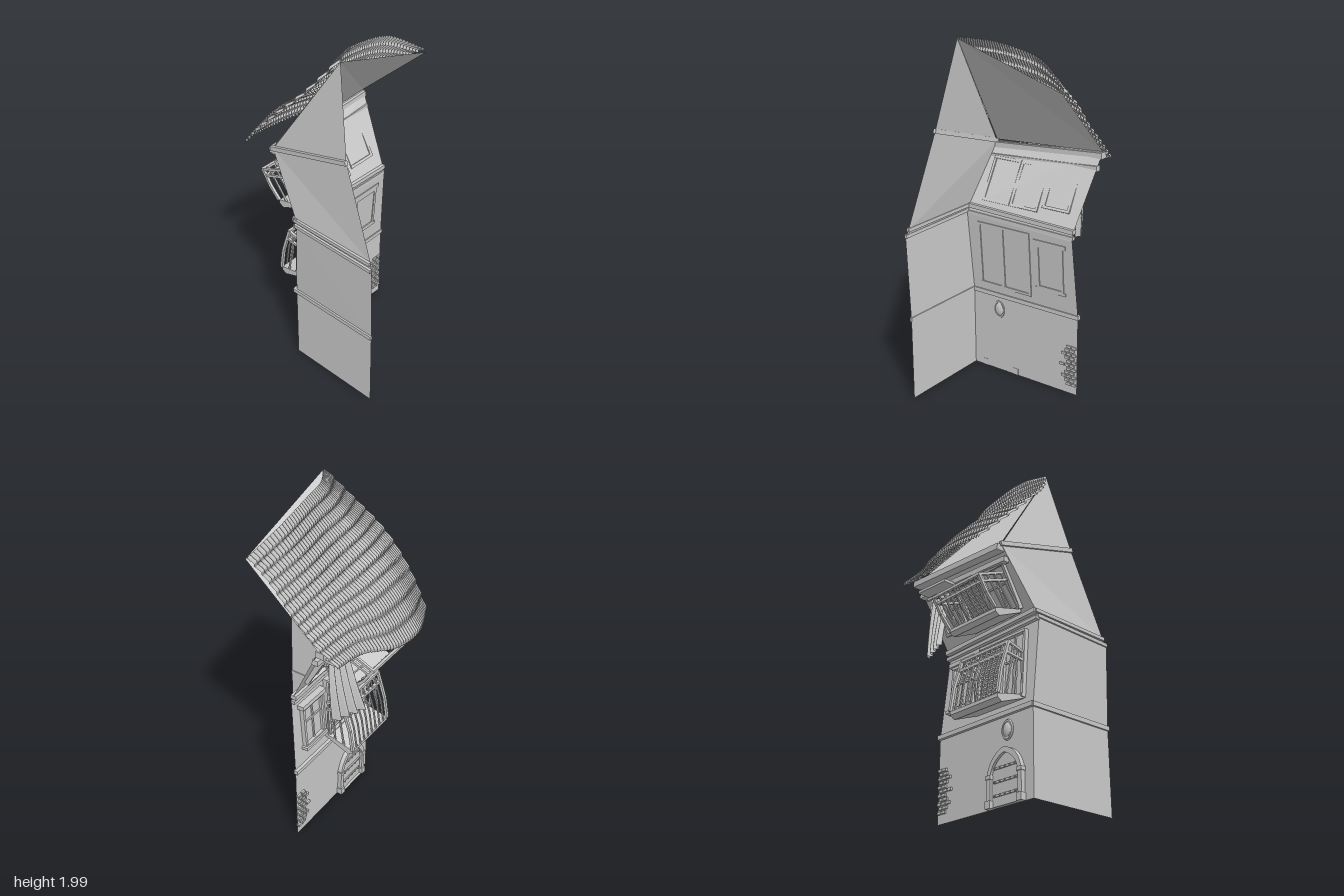
import * as THREE from 'three';
import { ParametricGeometry } from 'three/addons/geometries/ParametricGeometry.js';

const mat = new THREE.MeshStandardMaterial({ color: 0xcccccc, flatShading: true, side: THREE.DoubleSide });
const smooth = new THREE.MeshStandardMaterial({ color: 0xcccccc, side: THREE.DoubleSide });
const V = (a) => new THREE.Vector3(...a);

function add(parent, name, geo, pos = [0, 0, 0], material = mat) {
  const m = new THREE.Mesh(geo, material);
  m.name = name;
  m.position.set(...pos);
  parent.add(m);
  return m;
}
const box = (p, name, w, h, d, x, y, z) => add(p, name, new THREE.BoxGeometry(w, h, d), [x, y, z]);

// square beam running from point a to point b
function beam(p, name, a, b, w, h = w) {
  const A = V(a), B = V(b);
  const m = add(p, name, new THREE.BoxGeometry(w, h, A.distanceTo(B)), A.clone().lerp(B, 0.5).toArray());
  m.lookAt(B);
  return m;
}

// open surface through rows of points
function sheet(rows) {
  const pos = [];
  for (let i = 0; i < rows.length - 1; i++)
    for (let j = 0; j < rows[i].length - 1; j++) {
      const a = rows[i][j], b = rows[i][j + 1], c = rows[i + 1][j + 1], d = rows[i + 1][j];
      pos.push(...a, ...b, ...c, ...a, ...c, ...d);
    }
  const g = new THREE.BufferGeometry();
  g.setAttribute('position', new THREE.Float32BufferAttribute(pos, 3));
  g.computeVertexNormals();
  return g;
}

function group(parent, name, pos = [0, 0, 0], tilt = 0) {
  const g = new THREE.Group();
  g.name = name;
  g.position.set(...pos);
  g.rotation.x = tilt;
  parent.add(g);
  return g;
}

// pointed arch outline standing on y = 0
function archShape(w, spring, top, S = THREE.Shape) {
  const s = new S();
  s.moveTo(-w, 0);
  s.lineTo(-w, spring);
  s.quadraticCurveTo(-w * 0.85, top - 0.03, 0, top);
  s.quadraticCurveTo(w * 0.85, top - 0.03, w, spring);
  s.lineTo(w, 0);
  s.closePath();
  return s;
}

// window or door: frame, cross bars and optional louvres, facing -z
function opening(p, name, x0, x1, y0, y1, louvres = 0) {
  const g = group(p, name), w = x1 - x0, h = y1 - y0, x = (x0 + x1) / 2, y = (y0 + y1) / 2;
  for (const ex of [x0, x1]) box(g, 'jamb', 0.016, h, 0.03, ex, y, -0.008);
  for (const ey of [y0, y1]) box(g, 'rail', w + 0.016, 0.016, 0.035, x, ey, -0.01);
  box(g, 'pane', w, h, 0.008, x, y, -0.004);
  for (let i = 0; i < louvres; i++)
    box(g, 'louvre', w - 0.02, 0.008, 0.014, x, y0 + h * (i + 1) / (louvres + 1), -0.01).rotation.x = 0.6;
  if (!louvres) {
    box(g, 'mullion', 0.01, h, 0.016, x, y, -0.008);
    box(g, 'transom', w, 0.01, 0.016, x, y0 + h * 0.6, -0.008);
  }
  return g;
}

// crooked balcony from floor and rail lines given as [z, y]
function balcony(p, name, x0, x1, f0, f1, r0, r1) {
  const g = group(p, name);
  const at = (x, q) => [x, q[1], q[0]];
  const mix = (a, b, t) => [a[0] + (b[0] - a[0]) * t, a[1] + (b[1] - a[1]) * t];
  const drop = (q, d) => [q[0], q[1] - d];
  const ring = [f0, f1, drop(f1, 0.02), drop(mix(f0, f1, 0.85), 0.045), drop(f0, 0.02), f0];
  const slab = (x) => ring.map((q) => at(x, q));
  add(g, 'slab', sheet([slab(x0), slab(x1)]));
  for (const x of [x0, x1]) add(g, 'slabEnd', sheet([slab(x).slice(0, 3), slab(x).slice(3).reverse()]));
  for (const t of [0.8, 1]) {
    const a = mix(f0, r0, t), b = mix(f1, r1, t);
    for (const x of [x0, x1]) beam(g, 'sideRail', at(x, a), at(x, b), 0.014);
    beam(g, 'frontRail', at(x0 - 0.007, b), at(x1 + 0.007, b), 0.016);
  }
  const n = 9;
  for (let i = 0; i <= n; i++) {
    const x = x0 + (x1 - x0) * i / n, w = i % n ? 0.008 : 0.016;
    const mid = mix(f1, r1, 0.45);
    mid[0] -= 0.012;
    beam(g, 'baluster', at(x, f1), at(x, mid), w);
    beam(g, 'baluster', at(x, mid), at(x, r1), w);
  }
  for (const x of [x0, x1])
    for (const t of [0.08, 0.36, 0.68]) beam(g, 'sideBaluster', at(x, mix(f0, f1, t)), at(x, mix(r0, r1, t)), 0.009);
}

export function createModel() {
  const model = new THREE.Group();
  model.name = 'crookedHouse';

  // walls: facade faces -z, side wall faces -x
  add(model, 'facade', sheet([
    [[-0.345, 0, -0.07], [0.375, 0, -0.07]],
    [[-0.345, 0.48, -0.065], [0.375, 0.48, -0.065]],
    [[-0.362, 0.95, -0.03], [0.35, 0.93, -0.03]],
    [[-0.355, 1.0, -0.04], [0.35, 0.98, -0.04]],
    [[-0.305, 1.34, -0.24], [0.4, 1.39, -0.24]],
  ]));
  add(model, 'sideWall', sheet([
    [[-0.345, 0, 0.49], [-0.345, 0, -0.07]],
    [[-0.345, 0.48, 0.49], [-0.345, 0.48, -0.065]],
    [[-0.36, 0.95, 0.495], [-0.362, 0.95, -0.03]],
    [[-0.35, 1.0, 0.48], [-0.355, 1.0, -0.04]],
    [[-0.315, 1.5, 0.285], [-0.305, 1.34, -0.24]],
    [[-0.24, 1.98, 0.18], [-0.24, 1.98, 0.18]],
  ]));

  // storey bands
  beam(model, 'lowerBand', [-0.355, 0.48, -0.07], [0.38, 0.48, -0.07], 0.025, 0.025);
  beam(model, 'middleBand', [-0.365, 0.96, -0.04], [0.352, 0.945, -0.04], 0.025, 0.02);
  beam(model, 'middleBandTop', [-0.36, 1.0, -0.045], [0.352, 0.98, -0.045], 0.035, 0.025);
  beam(model, 'cornice', [-0.31, 1.26, -0.21], [0.39, 1.3, -0.21], 0.035, 0.03);
  beam(model, 'corniceTop', [-0.305, 1.32, -0.245], [0.4, 1.365, -0.245], 0.05, 0.035);
  beam(model, 'sideLowerBand', [-0.348, 0.48, 0.49], [-0.348, 0.48, -0.075], 0.016, 0.025);
  beam(model, 'sideMiddleBand', [-0.362, 0.96, 0.492], [-0.363, 0.97, -0.04], 0.016, 0.02);
  beam(model, 'sideMiddleBandTop', [-0.355, 0.995, 0.48], [-0.357, 1.0, -0.05], 0.018, 0.02);
  beam(model, 'sideUpperBand', [-0.318, 1.5, 0.287], [-0.308, 1.34, -0.25], 0.018, 0.025);

  // roof underside and curved tile field
  add(model, 'roofUnderside', sheet([
    [[-0.24, 1.98, 0.18], [0.41, 1.77, 0.18]],
    [[-0.305, 1.35, -0.24], [0.4, 1.385, -0.24]],
  ]));
  const profiles = [
    [[-0.24, 1.98, 0.18], [-0.345, 1.8, 0.05], [-0.405, 1.64, -0.1], [-0.395, 1.46, -0.27], [-0.33, 1.3, -0.42]],
    [[-0.13, 1.97, 0.12], [-0.19, 1.79, 0.01], [-0.22, 1.64, -0.13], [-0.2, 1.49, -0.3], [-0.17, 1.27, -0.475]],
    [[0.03, 1.95, 0.1], [0.01, 1.78, 0], [0, 1.62, -0.13], [0, 1.48, -0.29], [0.02, 1.27, -0.455]],
    [[0.22, 1.9, 0.1], [0.21, 1.74, 0], [0.2, 1.59, -0.12], [0.2, 1.46, -0.24], [0.21, 1.31, -0.37]],
    [[0.41, 1.78, 0.17], [0.41, 1.68, 0.04], [0.41, 1.54, -0.09], [0.41, 1.43, -0.21], [0.39, 1.32, -0.345]],
  ].map((p) => new THREE.CatmullRomCurve3(p.map(V)));
  const cols = 44, rows = 12;
  const tiles = new ParametricGeometry((u, v, out) => {
    const c = new THREE.CatmullRomCurve3(profiles.map((p) => p.getPoint(v)));
    c.getPoint(u, out);
    const f = v * rows - Math.floor(v * rows + 1e-6);
    const lift = 0.012 * Math.abs(Math.sin(Math.PI * cols * u)) + 0.012 * f;
    out.y += lift * 0.8;
    out.z -= lift * 0.6;
  }, cols * 6, rows * 5);
  add(model, 'roofTiles', tiles, [0, 0, 0], smooth);

  // arched door
  const door = group(model, 'door', [-0.16, 0, -0.07]);
  const frame = archShape(0.125, 0.16, 0.3);
  frame.holes.push(archShape(0.1, 0.16, 0.27, THREE.Path));
  add(door, 'doorFrame', new THREE.ExtrudeGeometry(frame, { depth: 0.025, bevelEnabled: false }), [0, 0, -0.025]);
  add(door, 'doorLeaf', new THREE.ExtrudeGeometry(archShape(0.1, 0.16, 0.27), { depth: 0.01, bevelEnabled: false }), [0, 0, -0.01]);
  for (const y of [0.06, 0.13, 0.2]) {
    box(door, 'strap', 0.17, 0.012, 0.008, 0, y, -0.012);
    for (let i = -2; i <= 2; i++) add(door, 'stud', new THREE.SphereGeometry(0.006, 6, 4), [i * 0.036, y, -0.017]);
  }
  for (const s of [-1, 1]) {
    box(door, 'plinth', 0.035, 0.04, 0.035, s * 0.112, 0.02, -0.015);
    box(door, 'capital', 0.035, 0.02, 0.03, s * 0.112, 0.16, -0.015);
  }

  // oval plaque above the door
  const plaque = group(model, 'plaque', [-0.165, 0.39, -0.07]);
  plaque.scale.set(0.8, 1.1, 1);
  add(plaque, 'plaqueRim', new THREE.TorusGeometry(0.042, 0.009, 6, 20));
  add(plaque, 'plaqueFace', new THREE.SphereGeometry(0.038, 14, 8)).scale.z = 0.4;

  // exposed brick patch
  const bricks = group(model, 'bricks');
  for (let r = 0; r < 11; r++)
    for (let c = 0; c < 2 + (r * 5) % 3 % 2; c++)
      box(bricks, 'brick', 0.028, 0.015, 0.02, 0.355 - c * 0.034 - (r % 2) * 0.012, 0.06 + r * 0.023, -0.07);

  // middle storey
  const middle = group(model, 'middleStorey', [0, 0.48, -0.066], 0.074);
  opening(middle, 'window', 0.12, 0.28, 0.13, 0.38);
  box(middle, 'windowHood', 0.21, 0.025, 0.045, 0.2, 0.4, -0.015);
  box(middle, 'windowSill', 0.2, 0.018, 0.045, 0.2, 0.12, -0.015);
  opening(middle, 'balconyDoor', -0.28, -0.13, 0.06, 0.43);
  opening(middle, 'shutterDoor', -0.12, 0.06, 0.06, 0.43, 14);
  balcony(model, 'middleBalcony', -0.28, 0.08, [-0.06, 0.55], [-0.245, 0.51], [-0.07, 0.78], [-0.17, 0.81]);

  // upper storey leaning outward
  const upper = group(model, 'upperStorey', [0, 1.0, -0.042], -0.507);
  opening(upper, 'balconyDoor', -0.27, -0.1, 0.05, 0.3);
  opening(upper, 'shutterDoor', -0.08, 0.09, 0.05, 0.3, 10);
  opening(upper, 'curtainWindow', 0.13, 0.29, 0.08, 0.28);
  balcony(model, 'upperBalcony', -0.27, 0.09, [-0.07, 1.03], [-0.25, 0.98], [-0.2, 1.2], [-0.365, 1.13]);

  // curtain blown out of the window
  const curtain = new ParametricGeometry((u, v, out) => {
    const s = u - 0.5;
    out.set(0.205 - s * (0.17 + 0.03 * v) - 0.03 * v * v, 1.24 - 0.375 * v,
      -0.225 - 0.065 * v - s * 0.08 * v + (0.008 + 0.008 * v) * Math.sin(u * 26 + v));
  }, 40, 12);
  add(model, 'curtain', curtain, [0, 0, 0], smooth);
  beam(model, 'curtainRod', [0.09, 1.24, -0.225], [0.32, 1.25, -0.225], 0.016);
  beam(model, 'curtainHood', [0.09, 1.265, -0.25], [0.32, 1.275, -0.25], 0.09, 0.016);
  return model;
}
